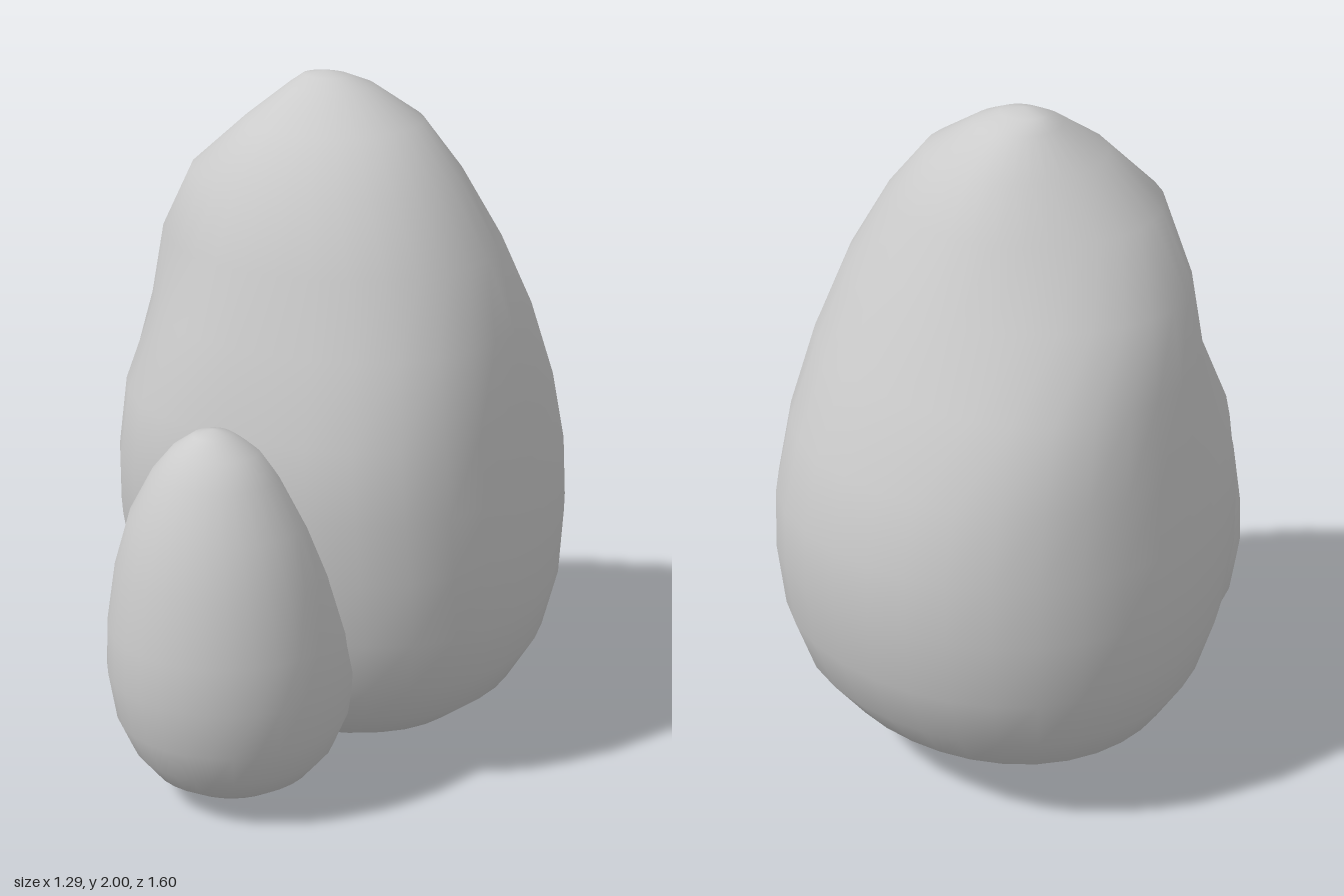
import * as THREE from 'three';

const SEGMENTS = 32;

// Smooth closed stone from level cross-sections.
// bottom/top: pole [x, y, z]; each row: [y, xMin, xMax, zBack, zFront, corners]
// corners: how far the diagonals swell or sink, as factors for
// [front +x, front -x, back -x, back +x]
function stone(name, bottom, top, rows) {
  const pos = [...bottom];
  const index = [];
  for (const [y, x0, x1, z0, z1, corners = [1, 1, 1, 1]] of rows) {
    const cx = THREE.MathUtils.mapLinear(y, bottom[1], top[1], bottom[0], top[0]);
    const cz = (z0 + z1) / 2;
    for (let j = 0; j < SEGMENTS; j++) {
      const a = (j / SEGMENTS) * Math.PI * 2;
      const corner = corners[Math.floor((j * 4) / SEGMENTS)];
      const k = 1 + (corner - 1) * Math.sin(2 * a) ** 2;
      const c = Math.cos(a), s = Math.sin(a);
      pos.push(cx + k * c * (c > 0 ? x1 - cx : cx - x0), y, cz + k * s * (z1 - z0) / 2);
    }
  }
  pos.push(...top);
  const last = pos.length / 3 - 1;
  const at = (i, j) => 1 + i * SEGMENTS + (j % SEGMENTS);
  for (let j = 0; j < SEGMENTS; j++) {
    index.push(0, at(0, j), at(0, j + 1));
    for (let i = 0; i < rows.length - 1; i++) {
      const a = at(i, j), b = at(i, j + 1), c = at(i + 1, j), d = at(i + 1, j + 1);
      index.push(a, c, b, b, c, d);
    }
    index.push(last, at(rows.length - 1, j + 1), at(rows.length - 1, j));
  }
  const geometry = new THREE.BufferGeometry();
  geometry.setAttribute('position', new THREE.Float32BufferAttribute(pos, 3));
  geometry.setIndex(index);
  geometry.computeVertexNormals();
  const mesh = new THREE.Mesh(geometry, new THREE.MeshStandardMaterial({ color: 0xcccccc }));
  mesh.name = name;
  return mesh;
}

export function createModel() {
  const group = new THREE.Group();
  group.name = 'stones';

  // Tall stone: flattened front, sunken upper left, swelling lower back
  group.add(stone('largeStone', [0, 0, -0.13], [-0.04, 2, -0.12], [
    [0.012, -0.14, 0.14, -0.25, 0.0],
    [0.045, -0.26, 0.27, -0.34, 0.09],
    [0.11, -0.38, 0.405, -0.47, 0.2, [1.03, 1.02, 1.01, 1.01]],
    [0.2, -0.495, 0.525, -0.61, 0.28, [1.05, 1.03, 1.02, 1.02]],
    [0.33, -0.58, 0.6, -0.71, 0.355, [1.07, 1.04, 1.02, 1.03]],
    [0.5, -0.63, 0.638, -0.775, 0.41, [1.09, 1.05, 1.02, 1.03]],
    [0.7, -0.65, 0.645, -0.8, 0.45, [1.09, 1.05, 1.02, 1.04]],
    [0.88, -0.64, 0.635, -0.8, 0.465, [1.09, 1.05, 1.02, 1.04]],
    [1.09, -0.62, 0.615, -0.75, 0.46, [1.09, 1.02, 1.04, 1.03]],
    [1.32, -0.58, 0.575, -0.65, 0.39, [1.06, 0.94, 1.07, 1.01]],
    [1.53, -0.53, 0.5, -0.55, 0.34, [1.03, 0.95, 0.98, 1]],
    [1.73, -0.41, 0.38, -0.45, 0.26, [1.02, 1.02, 0.96, 1]],
    [1.87, -0.26, 0.25, -0.37, 0.13],
    [1.96, -0.15, 0.1, -0.25, -0.01],
    [1.988, -0.11, 0.03, -0.18, -0.07],
  ]));

  // Small stone leaning against its front
  group.add(stone('smallStone', [-0.01, 0.02, 0.44], [-0.01, 1.13, 0.52], [
    [0.028, -0.09, 0.08, 0.36, 0.53],
    [0.05, -0.17, 0.16, 0.28, 0.61],
    [0.09, -0.235, 0.225, 0.21, 0.675],
    [0.16, -0.295, 0.285, 0.15, 0.73],
    [0.26, -0.34, 0.325, 0.1, 0.775],
    [0.4, -0.36, 0.345, 0.08, 0.8],
    [0.54, -0.35, 0.337, 0.1, 0.8],
    [0.72, -0.315, 0.302, 0.17, 0.775],
    [0.87, -0.265, 0.25, 0.25, 0.735],
    [1.0, -0.19, 0.175, 0.34, 0.675],
    [1.07, -0.13, 0.12, 0.4, 0.625],
    [1.115, -0.065, 0.045, 0.465, 0.575],
  ]));

  return group;
}
